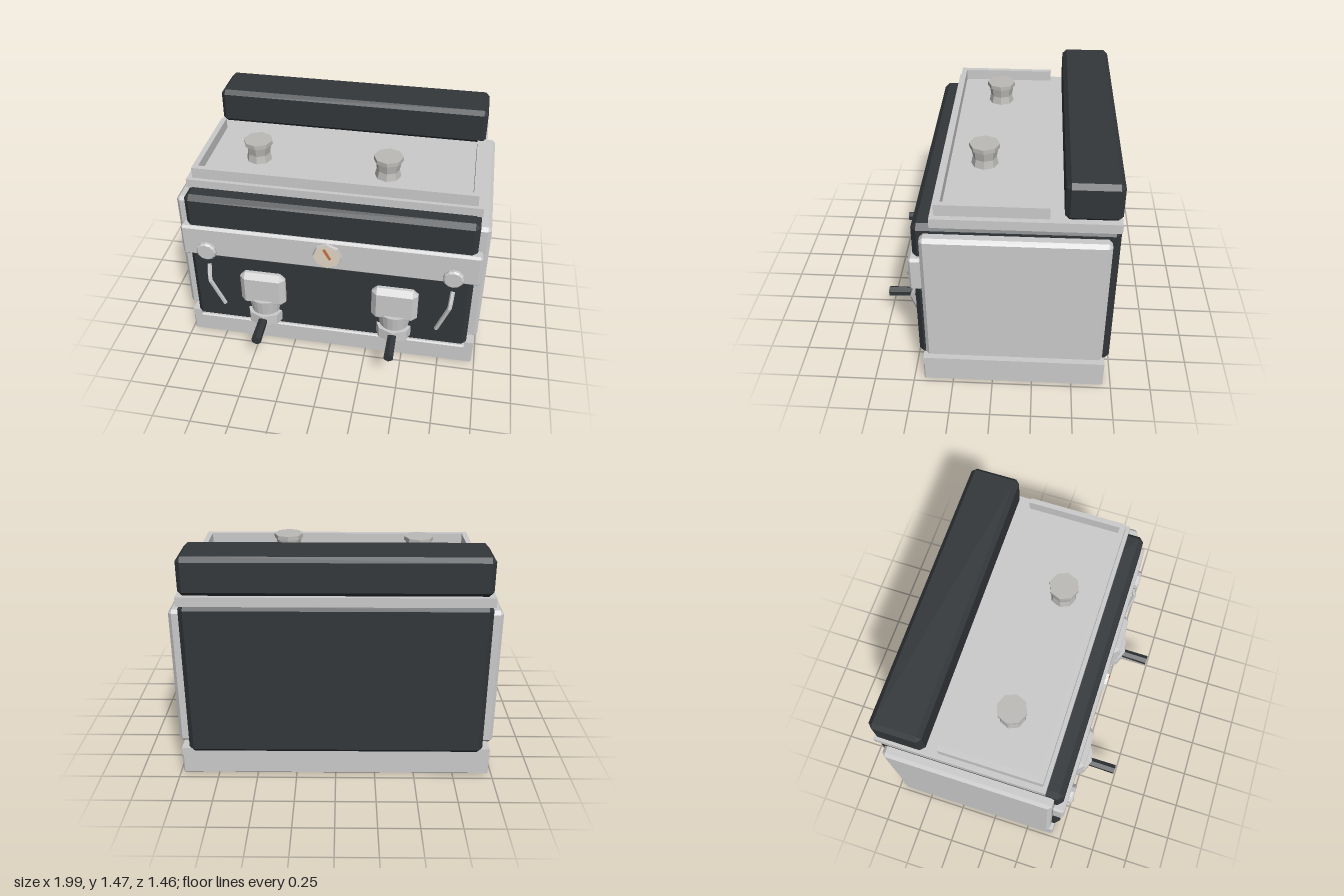
import * as THREE from 'three';
import { ConvexGeometry } from 'three/addons/geometries/ConvexGeometry.js';

const mat = (color) => new THREE.MeshStandardMaterial({ color, flatShading: true });
const grey = mat(0xcccccc);
const dark = mat(0x33373a);
const knobGrey = mat(0xbdbbb8);
const cream = mat(0xe2d8c6);
const orange = mat(0xc8703a);

// Box with chamfered edges, given by its min and max corners
function chamferBox(min, max, b) {
  const c = min.map((v, i) => (v + max[i]) / 2);
  const h = min.map((v, i) => (max[i] - v) / 2);
  const points = [];
  for (const sx of [-1, 1]) for (const sy of [-1, 1]) for (const sz of [-1, 1]) {
    for (let full = 0; full < 3; full++) {
      const p = [sx, sy, sz].map((s, i) => c[i] + s * (h[i] - (i === full ? 0 : b)));
      points.push(new THREE.Vector3(...p));
    }
  }
  return new ConvexGeometry(points);
}

function plainBox(min, max) {
  const g = new THREE.BoxGeometry(max[0] - min[0], max[1] - min[1], max[2] - min[2]);
  return g.translate(...min.map((v, i) => (v + max[i]) / 2));
}

// Round part whose axis points to the front, between z0 and z1
function disc(x, y, z0, z1, rBack, rFront, sides = 8) {
  return new THREE.CylinderGeometry(rFront, rBack, z1 - z0, sides)
    .rotateX(Math.PI / 2).translate(x, y, (z0 + z1) / 2);
}

export function createModel() {
  const model = new THREE.Group();
  const add = (name, geometry, material = grey, parent = model) => {
    const mesh = new THREE.Mesh(geometry, material);
    mesh.name = name;
    parent.add(mesh);
    return mesh;
  };

  // Base tray with raised side rails
  add('base', chamferBox([-0.98, 0, -0.7], [0.98, 0.145, 0.435], 0.008));
  add('baseBackRail', plainBox([-0.93, 0.13, -0.7], [0.93, 0.185, -0.64]));

  // Main housing, top plate and rear box
  add('body', chamferBox([-0.93, 0.165, -0.73], [0.93, 1.175, 0.465], 0.032), dark);
  add('topPlate', plainBox([-0.935, 1.17, -0.73], [0.935, 1.23, 0.355]));
  add('rearBox', chamferBox([-0.92, 1.23, -0.73], [0.92, 1.47, -0.405], 0.028), dark);

  // Cup rail, open at the back
  add('railFront', plainBox([-0.9, 1.23, 0.295], [0.9, 1.303, 0.33]));

  // Front band with gauge
  add('frontBand', chamferBox([-0.965, 0.73, 0.405], [0.965, 0.957, 0.488], 0.015));
  add('gaugeRim', disc(0, 0.847, 0.48, 0.503, 0.098, 0.092));
  add('gaugeFace', disc(0, 0.847, 0.5, 0.506, 0.088, 0.088), cream);
  const needle = add('gaugeNeedle', new THREE.BoxGeometry(0.016, 0.085, 0.008), orange);
  needle.position.set(0, 0.87, 0.508);
  needle.rotation.z = 0.5;

  for (const s of [-1, 1]) {
    // Side details
    const rail = plainBox([-0.03, 0.13, -0.7], [0.03, 0.185, 0.435]).translate(s * 0.95, 0, 0);
    add('baseSideRail', rail);
    const panel = chamferBox([-0.045, 0.22, -0.68], [0.045, 1.125, 0.412], 0.022);
    add('sidePanel', panel.translate(s * 0.952, 0, 0));
    add('railSide', plainBox([-0.0175, 1.23, -0.325], [0.0175, 1.303, 0.33])
      .translate(s * 0.8825, 0, 0));

    // Steam valve and bent wand
    add('steamValve', disc(s * 0.8, 0.78, 0.48, 0.505, 0.066, 0.066, 12));
    add('steamValveCap', disc(s * 0.8, 0.78, 0.505, 0.515, 0.066, 0.055, 12));
    const path = new THREE.CurvePath();
    const bends = [[0.805, 0.65, 0.462], [0.797, 0.545, 0.508], [0.722, 0.315, 0.47]]
      .map(([x, y, z]) => new THREE.Vector3(s * x, y, z));
    path.add(new THREE.LineCurve3(bends[0], bends[1]));
    path.add(new THREE.LineCurve3(bends[1], bends[2]));
    add('steamWand', new THREE.TubeGeometry(path, 12, 0.015, 6, false),
      new THREE.MeshStandardMaterial({ color: 0xcccccc, flatShading: true, side: THREE.DoubleSide }));

    // Brew group: head, neck, filter holder and handle
    const group = new THREE.Group();
    group.name = 'brewGroup';
    group.position.x = s * 0.44;
    model.add(group);
    add('brewHead', chamferBox([-0.152, 0.37, 0.38], [0.152, 0.628, 0.522], 0.035), grey, group);
    const neck = new THREE.CylinderGeometry(0.118, 0.1, 0.13, 20).translate(0, 0.355, 0.43);
    add('brewNeck', neck, grey, group);
    const holder = new THREE.CylinderGeometry(0.13, 0.13, 0.08, 8).translate(0, 0.265, 0.43);
    add('filterHolder', holder, grey, group);
    const handle = add('handle', new THREE.CylinderGeometry(0.034, 0.031, 0.2, 6), dark, group);
    handle.position.set(0, 0.259, 0.632);
    handle.rotation.x = Math.PI / 2 + 0.05;
  }

  // Faceted caps on the top plate
  const capProfile = [[0, 1.23], [0.085, 1.23], [0.074, 1.28], [0.084, 1.34],
    [0.095, 1.343], [0.095, 1.37], [0, 1.37]].map(([r, y]) => new THREE.Vector2(r, y));
  for (const [x, z] of [[-0.54, 0.022], [0.32, 0.08]]) {
    add('tankCap', new THREE.LatheGeometry(capProfile, 8).translate(x, 0, z), knobGrey);
  }

  return model;
}
